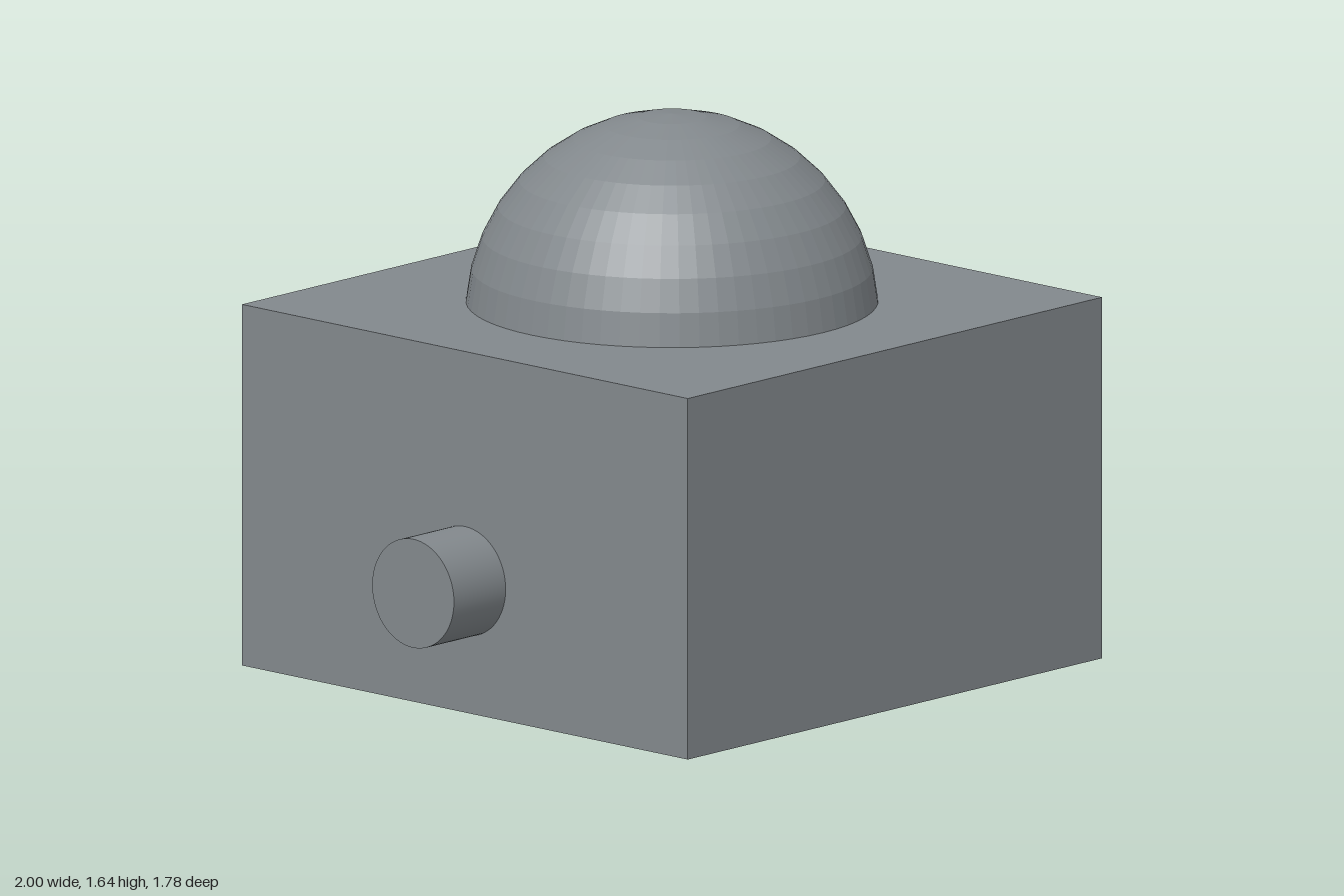
import * as THREE from 'three';

export function createModel() {
  const group = new THREE.Group();
  const color = 0x82888c;
  const flat = new THREE.MeshStandardMaterial({ color, flatShading: true });
  const smooth = new THREE.MeshStandardMaterial({ color });

  const add = (name, geometry, material, x, y, z) => {
    const mesh = new THREE.Mesh(geometry, material);
    mesh.name = name;
    mesh.position.set(x, y, z);
    group.add(mesh);
  };

  const bodyW = 1.778, bodyH = 1.083, bodyX = 0.111;

  // Square box body
  add('body', new THREE.BoxGeometry(bodyW, bodyH, bodyW), flat, bodyX, bodyH / 2, 0);

  // Faceted dome: a cap of a sphere centred just below the top of the body,
  // cut off where it meets the body
  const domeR = 0.604, domeY = 1.041;
  const capAngle = Math.acos((bodyH - domeY) / domeR);
  const dome = new THREE.SphereGeometry(domeR, 64, 9, 0, Math.PI * 2, 0, capAngle);
  add('dome', dome, flat, bodyX, domeY, 0);

  // Short round peg on the -x side, rooted a little into the body
  const pegLength = 0.25;
  const peg = new THREE.CylinderGeometry(0.163, 0.163, pegLength, 64).rotateZ(Math.PI / 2);
  add('sidePeg', peg, smooth, -1 + pegLength / 2, 0.395, 0);

  return group;
}
